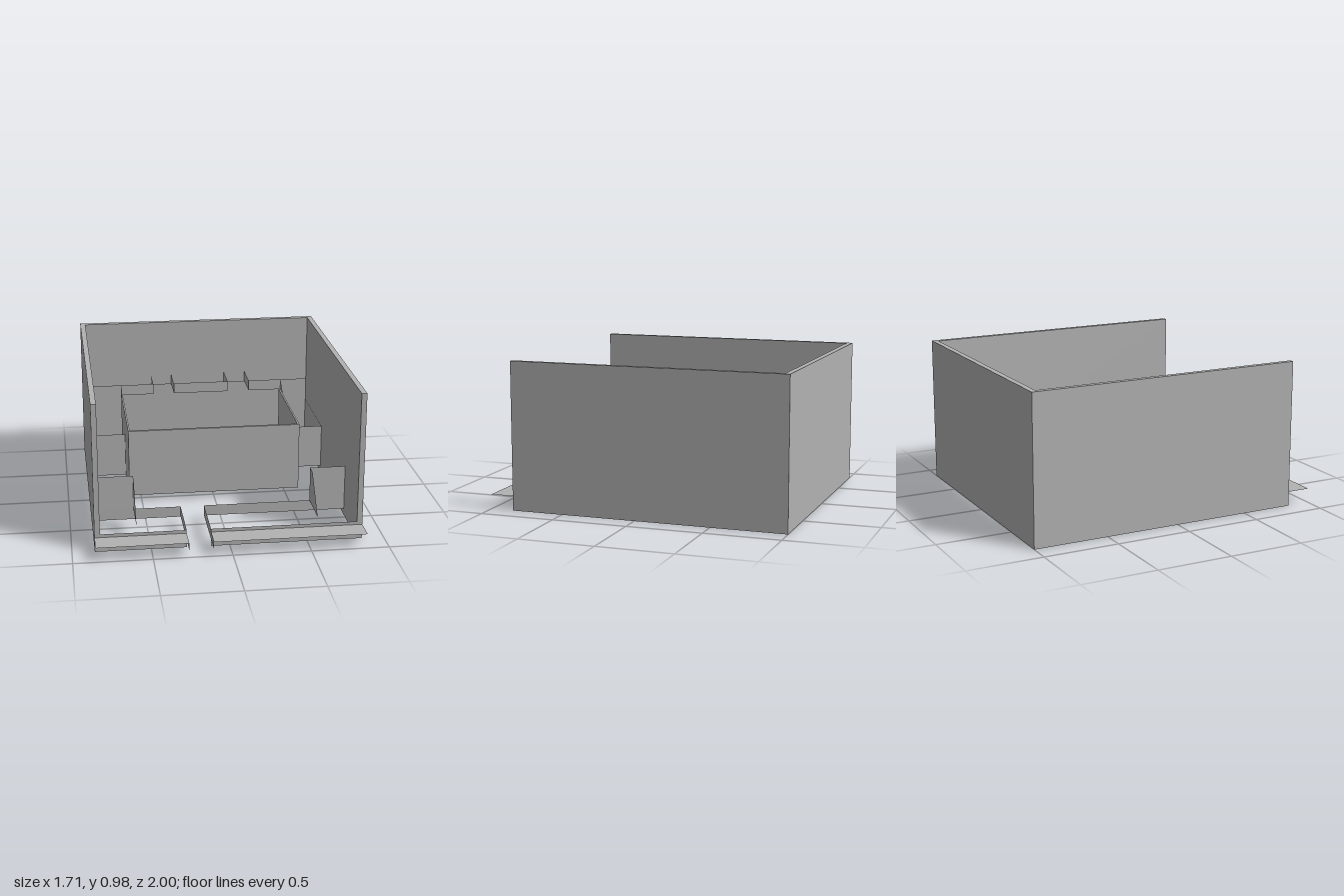
import * as THREE from 'three';

export function createModel() {
  const root = new THREE.Group();
  const grey = new THREE.MeshStandardMaterial({ color: 0xb2b2b2, side: THREE.DoubleSide });
  grey.name = 'plain grey';

  const add = (name, geometry) => {
    const mesh = new THREE.Mesh(geometry, grey);
    mesh.name = name;
    root.add(mesh);
    return mesh;
  };
  const box = (name, x0, x1, y0, y1, z0, z1) =>
    add(name, new THREE.BoxGeometry(x1 - x0, y1 - y0, z1 - z0))
      .position.set((x0 + x1) / 2, (y0 + y1) / 2, (z0 + z1) / 2);
  // Sheet facing front
  const sheetZ = (name, z, x0, x1, y0, y1) =>
    add(name, new THREE.PlaneGeometry(x1 - x0, y1 - y0))
      .position.set((x0 + x1) / 2, (y0 + y1) / 2, z);
  // Sheet facing sideways, outlined by [z, y] points
  const sheetX = (name, x, points) => {
    const shape = new THREE.Shape(points.map(([z, y]) => new THREE.Vector2(-z, y)));
    const mesh = add(name, new THREE.ShapeGeometry(shape));
    mesh.rotation.y = Math.PI / 2;
    mesh.position.x = x;
  };
  const rectX = (name, x, z0, z1, y0, y1) =>
    sheetX(name, x, [[z0, y0], [z1, y0], [z1, y1], [z0, y1]]);
  // Level sheet
  const sheetY = (name, y, x0, x1, z0, z1) => {
    const mesh = add(name, new THREE.PlaneGeometry(x1 - x0, z1 - z0));
    mesh.rotation.x = -Math.PI / 2;
    mesh.position.set((x0 + x1) / 2, y, (z0 + z1) / 2);
  };

  // Three outer walls
  box('backWall', -0.857, 0.857, 0, 0.98, -1, -0.963);
  box('rightWall', -0.857, -0.822, 0, 0.98, -0.963, 0.845);
  box('leftWall', 0.822, 0.857, 0, 0.98, -0.963, 0.845);

  // Central open box: floor, front panel and sides
  sheetY('boxFloor', 0.108, -0.575, 0.575, -0.76, 0.04);
  box('boxFront', -0.585, 0.585, 0.046, 0.51, 0.04, 0.06);

  for (const s of [-1, 1]) {
    const a = Math.min(s * 0.574, s * 0.585), b = Math.max(s * 0.574, s * 0.585);
    box('boxSideFront', a, b, 0.046, 0.51, -0.33, 0.04);
    box('boxSideRear', a, b, 0.108, 0.51, -0.72, -0.33);

    // Side panels between box and wall
    const p = Math.min(s * 0.585, s * 0.82), q = Math.max(s * 0.585, s * 0.82);
    sheetZ('wingPanel', -0.33, p, q, 0.046, 0.35);
    rectX('wingLining', s * 0.818, -0.95, -0.33, 0.046, 0.35);

    // Front bracket with sloping cheek
    sheetZ('bracketPanel', 0.464, p, q, 0.118, 0.35);
    sheetX('bracketCheek', s * 0.585,
      [[0.464, 0.118], [0.75, 0.118], [0.55, 0.35], [0.464, 0.35]]);

    // Small wedge above the rear of each box side
    sheetX('rearWedge', s * 0.585, [[-0.72, 0.51], [-0.606, 0.51], [-0.72, 0.585]]);
  }

  // Rear lining and the raised strips in front of it
  sheetZ('rearLining', -0.95, -0.82, 0.82, 0.046, 0.51);
  for (const [x0, x1] of [[-0.585, -0.35], [-0.2, 0.195], [0.35, 0.585]]) {
    sheetZ('rearStrip', -0.72, x0, x1, 0.51, 0.585);
    for (const x of [x0, x1])
      if (Math.abs(x) < 0.5) rectX('rearStripEnd', x, -0.95, -0.72, 0.51, 0.585);
  }

  // Low front frames on each side of the opening
  for (const [x0, x1, gap] of [[-0.857, -0.275, -0.275], [-0.12, 0.857, -0.12]]) {
    sheetY('frontLedge', 0.096, x0, x1, 0.845, 1);
    sheetZ('frontCurb', 0.845, x0, x1, 0, 0.118);
    sheetZ('innerCurb', 0.464, Math.max(x0, -0.82), Math.min(x1, 0.82), 0.046, 0.118);
    rectX('openingCurb', gap, 0.464, 0.845, 0.046, 0.118);
    rectX('openingFlange', gap, 0.845, 1, 0.048, 0.096);
  }

  return root;
}
